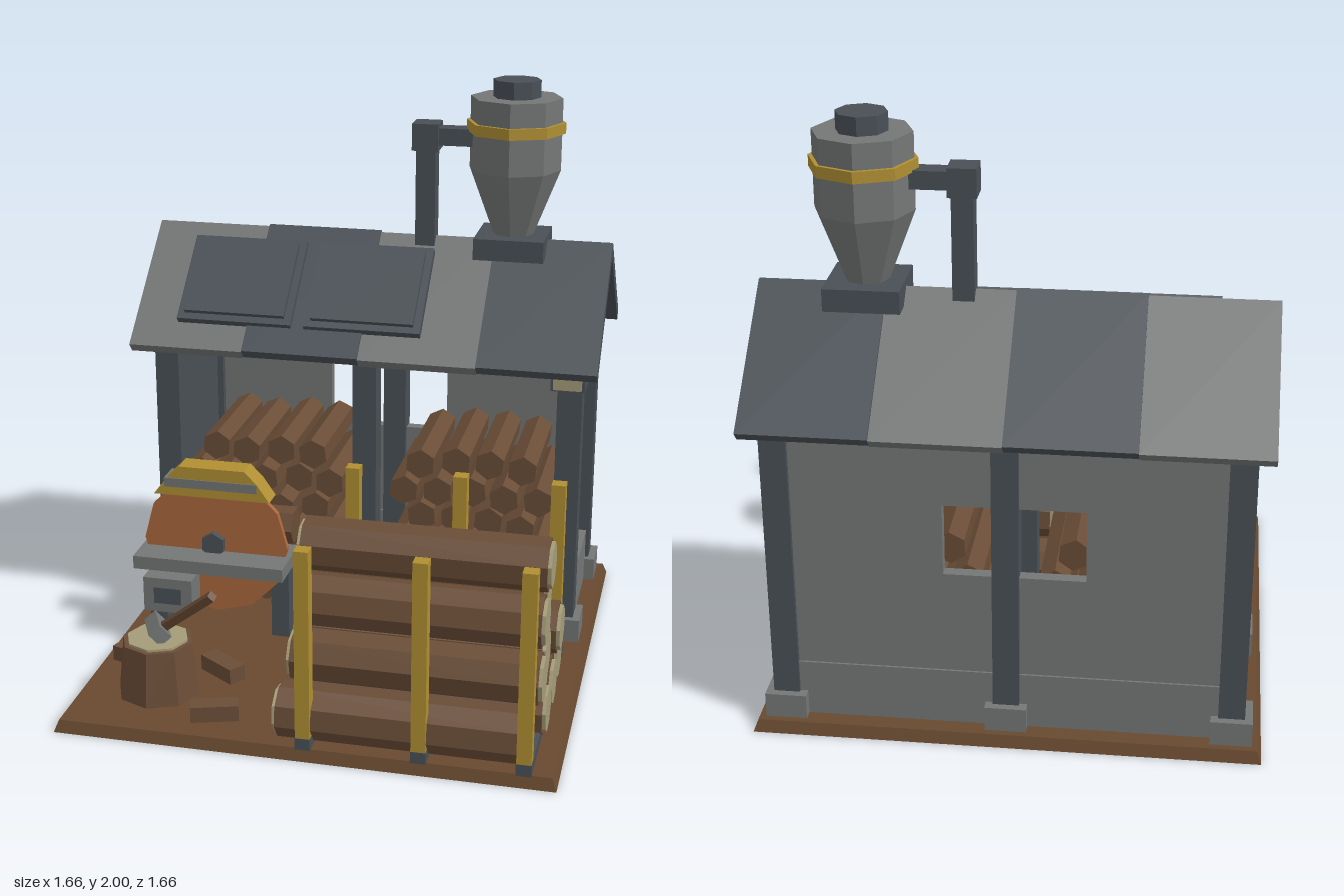
import * as THREE from 'three';

const mat = (name, color, extra = {}) => Object.assign(new THREE.MeshStandardMaterial({ color, flatShading: true, ...extra }), { name });

export function createModel() {
  const root = new THREE.Group();
  root.name = 'sawmillShed';
  const grey = mat('weathered grey', 0x747776);
  const slate = mat('slate', 0x495056);
  const brown = mat('bark brown', 0x6a4d37);
  const earth = mat('earth brown', 0x68492f);
  const cream = mat('cut wood', 0xa59b79);
  const gold = mat('painted yellow', 0xb08f33);
  const copper = mat('rusty blade', 0xaa673c);

  const add = (name, geo, m, x = 0, y = 0, z = 0, parent = root) => {
    const mesh = new THREE.Mesh(geo, m);
    mesh.name = name;
    mesh.position.set(x, y, z);
    parent.add(mesh);
    return mesh;
  };
  // Box given by its limits on each axis
  const box = (name, m, x0, x1, y0, y1, z0, z1) =>
    add(name, new THREE.BoxGeometry(x1 - x0, y1 - y0, z1 - z0), m, (x0 + x1) / 2, (y0 + y1) / 2, (z0 + z1) / 2);
  const cyl = (name, m, rTop, rBottom, h, sides, x, y, z) =>
    add(name, new THREE.CylinderGeometry(rTop, rBottom, h, sides), m, x, y, z);
  const shape = pts => new THREE.Shape(pts.map(p => new THREE.Vector2(...p)));
  const extrude = (s, depth) => new THREE.ExtrudeGeometry(s, { depth, bevelEnabled: false });
  let seed = 7;
  const jitter = a => {
    seed = (seed * 16807) % 2147483647;
    return (seed / 2147483647 - 0.5) * 2 * a;
  };

  // Ground slab with sloped edge
  const slab = new THREE.CylinderGeometry(0.815 * Math.SQRT2, 0.83 * Math.SQRT2, 0.04, 4);
  slab.rotateY(Math.PI / 4);
  add('ground', slab, earth, 0, 0.02, 0);

  // Posts and stone footings
  for (const x of [-0.73, 0, 0.725]) {
    for (const [z, top] of [[-0.185, 1.09], [-0.725, 1.07]]) {
      box('post', slate, x - 0.043, x + 0.043, 0.04, top, z - 0.043, z + 0.043);
      box('footing', grey, x - 0.068, x + 0.068, 0.04, 0.125, z - 0.068, z + 0.068);
    }
  }

  // Back wall with window, plinth and header
  const wall = shape([[-0.74, 0.04], [0.74, 0.04], [0.74, 0.985], [-0.74, 0.985]]);
  wall.holes.push(new THREE.Path([[-0.255, 0.59], [-0.255, 0.835], [0.2, 0.835], [0.2, 0.59]].map(p => new THREE.Vector2(...p))));
  add('backWall', extrude(wall, 0.04), grey, 0, 0, -0.75);
  box('backPlinth', grey, -0.735, 0.735, 0.04, 0.235, -0.757, -0.7);
  box('backHeader', grey, -0.74, 0.74, 0.985, 1.07, -0.75, -0.71);

  // Closed side wall, and low wall on the open side
  box('sideWall', grey, -0.75, -0.73, 0.04, 1, -0.7, -0.22);
  box('sideLining', slate, -0.73, -0.71, 0.04, 1, -0.7, -0.22);
  box('sidePlinth', grey, -0.757, -0.72, 0.04, 0.235, -0.7, -0.22);
  box('lowWall', grey, 0.69, 0.755, 0.04, 0.235, -0.7, -0.22);

  // Gables
  for (const x of [-0.73, 0.73]) {
    const gable = extrude(shape([[-0.18, 1.09], [-0.44, 1.37], [-0.7, 1.09]]), 0.05);
    gable.rotateY(-Math.PI / 2);
    add('gable', gable, slate, x + 0.025, 0, 0);
    box('gableBeam', slate, x - 0.03, x + 0.03, 1.065, 1.1, -0.72, -0.18);
  }
  // The gable profile is drawn in z, which the quarter turn maps from x

  // Plate lying on a roof slope, from s0 to s1 below the ridge
  const pitch = 0.73, ridgeY = 1.435, ridgeZ = -0.42;
  const slope = (name, m, side, x0, x1, s0, s1, low, high) => {
    const s = (s0 + s1) / 2, h = (low + high) / 2;
    const p = add(name, new THREE.BoxGeometry(x1 - x0, high - low, s1 - s0), m, (x0 + x1) / 2,
      ridgeY - s * Math.sin(pitch) + h * Math.cos(pitch),
      ridgeZ + side * (s * Math.cos(pitch) + h * Math.sin(pitch)));
    p.rotation.x = side * pitch;
  };
  for (let i = 0; i < 4; i++) {
    const x0 = -0.826 + i * 0.413, lift = (i % 2) * 0.008;
    for (const side of [1, -1]) slope('roofSheet', i % 2 ? slate : grey, side, x0, x0 + 0.413, 0, 0.535, lift - 0.042, lift);
  }
  // Roof panels
  for (const x of [-0.46, 0]) {
    slope('panelFrame', slate, 1, x - 0.207, x + 0.207, 0.075, 0.43, 0, 0.028);
    slope('panelGlass', slate, 1, x - 0.182, x + 0.182, 0.1, 0.405, 0.028, 0.045);
  }

  // Lamp on the corner post
  box('lampBox', slate, 0.665, 0.782, 1, 1.09, -0.195, -0.075);
  box('lampLens', cream, 0.675, 0.772, 1.01, 1.08, -0.075, -0.058);

  // Dust hopper and its duct
  const hx = 0.475, hz = -0.42;
  box('hopperBase', slate, 0.352, 0.598, 1.385, 1.46, hz - 0.123, hz + 0.123);
  cyl('hopperCone', grey, 0.16, 0.072, 0.23, 8, hx, 1.575, hz);
  cyl('hopperDrum', grey, 0.16, 0.16, 0.25, 8, hx, 1.815, hz);
  cyl('hopperBand', gold, 0.173, 0.173, 0.038, 8, hx, 1.838, hz);
  cyl('hopperCap', slate, 0.083, 0.083, 0.06, 8, hx, 1.97, hz);
  box('ductRiser', slate, 0.13, 0.2, 1.4, 1.76, hz - 0.035, hz + 0.035);
  box('ductElbow', slate, 0.117, 0.21, 1.745, 1.84, hz - 0.047, hz + 0.047);
  box('ductArm', slate, 0.2, 0.34, 1.765, 1.825, hz - 0.035, hz + 0.035);

  // Stacked billets in both bays
  const billet = new THREE.CylinderGeometry(0.056, 0.056, 0.45, 6);
  billet.rotateX(Math.PI / 2);
  for (const cx of [-0.395, 0.375]) {
    for (let row = 0; row < 6; row++) {
      const n = row % 2 ? 4 : 5;
      for (let i = 0; i < n; i++) {
        const b = add('billet', billet, brown, cx + (i - (n - 1) / 2) * 0.123, 0.092 + row * 0.109, -0.455 + jitter(0.03));
        b.rotation.z = jitter(0.12);
      }
    }
  }

  // Log pile with pale cut ends
  for (let row = 0; row < 4; row++) {
    for (let i = 0; i < 4 - row; i++) {
      const len = 0.8 + jitter(0.02), cx = 0.34 + jitter(0.02);
      const log = new THREE.Group();
      log.name = 'log';
      log.position.set(cx, 0.13 + row * 0.155, 0.45 + (i - (3 - row) / 2) * 0.187);
      log.rotation.set(jitter(0.3), 0, Math.PI / 2);
      root.add(log);
      add('bark', new THREE.CylinderGeometry(0.09, 0.09, len, 8), brown, 0, 0, 0, log);
      add('cutEnds', new THREE.CylinderGeometry(0.077, 0.077, len + 0.024, 8), cream, 0, 0, 0, log);
    }
  }
  // Rack rails and stakes
  for (const x of [0.015, 0.39, 0.725]) {
    box('rackRail', slate, x - 0.025, x + 0.025, 0.04, 0.08, -0.01, 0.825);
    for (const z of [0.085, 0.8]) box('stake', gold, x - 0.024, x + 0.024, 0.08, 0.73, z - 0.024, z + 0.024);
  }

  // Saw bench
  box('benchTop', grey, -0.77, -0.22, 0.307, 0.355, -0.04, 0.183);
  for (const x of [-0.72, -0.26]) box('benchLeg', slate, x - 0.032, x + 0.032, 0.04, 0.307, -0.02, 0.07);
  box('motorBox', grey, -0.74, -0.56, 0.14, 0.27, 0.02, 0.17);
  box('motorVent', slate, -0.7, -0.6, 0.175, 0.235, 0.168, 0.176);
  const blade = new THREE.CylinderGeometry(0.265, 0.265, 0.022, 12);
  blade.rotateX(Math.PI / 2);
  add('sawBlade', blade, copper, -0.495, 0.385, 0.062);
  const hub = new THREE.CylinderGeometry(0.045, 0.045, 0.07, 6);
  hub.rotateX(Math.PI / 2);
  add('sawHub', hub, slate, -0.5, 0.385, 0.062);
  const guard = shape([[-0.71, 0.57], [-0.285, 0.57], [-0.33, 0.635], [-0.375, 0.68], [-0.615, 0.68], [-0.66, 0.635]]);
  add('bladeGuard', extrude(guard, 0.085), gold, 0, 0, 0.02);
  box('guardStrip', grey, -0.67, -0.33, 0.602, 0.635, 0.016, 0.109);
  const feed = new THREE.CylinderGeometry(0.067, 0.067, 0.4, 6);
  feed.rotateZ(Math.PI / 2);
  add('sawnLog', feed, brown, -0.43, 0.43, -0.045);

  // Chopping block and axe
  cyl('choppingBlock', brown, 0.122, 0.142, 0.19, 8, -0.56, 0.135, 0.54);
  cyl('blockTop', cream, 0.106, 0.106, 0.008, 8, -0.56, 0.234, 0.54);
  const head = add('axeHead', new THREE.BoxGeometry(0.05, 0.06, 0.12), grey, -0.56, 0.265, 0.535);
  head.rotation.set(0, 0.45, 0.7);
  const a = new THREE.Vector3(-0.57, 0.25, 0.53), b = new THREE.Vector3(-0.33, 0.46, 0.645);
  const handle = add('axeHandle', new THREE.BoxGeometry(0.028, a.distanceTo(b), 0.028), brown);
  handle.position.copy(a).lerp(b, 0.5);
  handle.quaternion.setFromUnitVectors(new THREE.Vector3(0, 1, 0), b.clone().sub(a).normalize());

  // Loose offcuts
  for (const [x, z, r] of [[-0.73, 0.31, 1.25], [-0.38, 0.39, -0.6], [-0.32, 0.685, 0.3]]) {
    add('offcut', new THREE.BoxGeometry(0.16, 0.055, 0.065), brown, x, 0.067, z).rotation.y = r;
  }
  return root;
}
